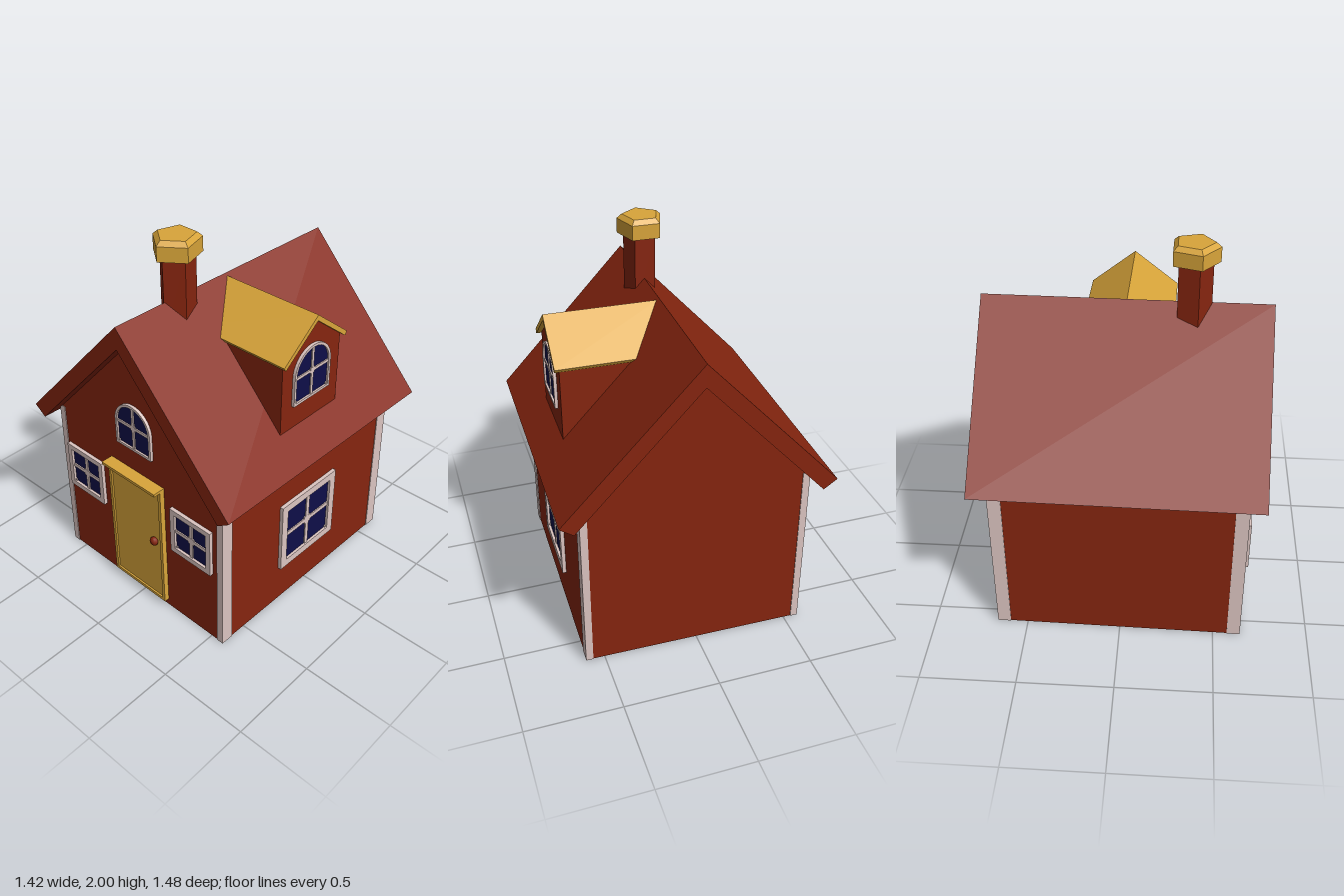
import * as THREE from 'three';

const mat = (name, color) => {
  const m = new THREE.MeshStandardMaterial({ color });
  m.name = name;
  return m;
};

export function createModel() {
  const red = mat('barn red', 0x86250f);
  const yellow = mat('ochre yellow', 0xd9a53a);
  const white = mat('pinkish white', 0xdcc5c1);
  const blue = mat('night blue', 0x0e0e48);

  const house = new THREE.Group();
  house.name = 'house';

  const add = (parent, name, geometry, material, x = 0, y = 0, z = 0) => {
    const mesh = new THREE.Mesh(geometry, material);
    mesh.name = name;
    mesh.position.set(x, y, z);
    parent.add(mesh);
    return mesh;
  };
  const box = (parent, name, material, w, h, d, x, y, z) =>
    add(parent, name, new THREE.BoxGeometry(w, h, d), material, x, y, z);
  const extrude = (shape, depth) =>
    new THREE.ExtrudeGeometry(shape, { depth, bevelEnabled: false, curveSegments: 10 });
  // Closed shape from the points of its right half, mirrored across x = 0
  const mirrored = (half) => {
    const left = half.filter(([x]) => x > 0).map(([x, y]) => [-x, y]).reverse();
    return new THREE.Shape([...half, ...left].map(([x, y]) => new THREE.Vector2(x, y)));
  };
  // Roof slabs: right outer edge going down, inner edge going back up, then the left half
  const chevron = (w, top, eave, w2, eave2, under) => new THREE.Shape(
    [[0, under], [w2, eave2], [w, eave], [0, top], [-w, eave], [-w2, eave2]]
      .map(([x, y]) => new THREE.Vector2(x, y)));

  // Walls with gables
  add(house, 'walls',
    extrude(mirrored([[0.585, 0], [0.585, 0.96], [0, 1.6]]), 1.3), red, 0, 0, -0.65);

  // Corner boards
  for (const sx of [-1, 1]) for (const sz of [-1, 1])
    box(house, 'cornerBoard', white, 0.038, 0.94, 0.07, sx * 0.57, 0.47, sz * 0.619);

  // Main roof
  add(house, 'mainRoof', extrude(chevron(0.7, 1.68, 0.93, 0.63, 0.88, 1.56), 1.46), red, 0, 0, -0.73);

  // Chimney
  const chimney = new THREE.Group();
  chimney.name = 'chimney';
  chimney.position.set(-0.004, 0, 0.327);
  chimney.scale.z = 1.04;
  const prism = (r1, r2, h) => new THREE.CylinderGeometry(r1, r2, h, 5).toNonIndexed();
  for (const [name, r1, r2, y0, y1, m] of [
    ['chimneyShaft', 0.09, 0.09, 1.5, 1.91, red],
    ['chimneyCap', 0.122, 0.122, 1.9, 1.977, yellow],
    ['chimneyCapTop', 0.096, 0.122, 1.977, 2, yellow],
  ]) {
    const g = prism(r1, r2, y1 - y0);
    g.computeVertexNormals();
    add(chimney, name, g, m, 0, (y0 + y1) / 2, 0);
  }
  house.add(chimney);

  // Window outline standing on y = 0, optionally with a round top
  const outline = (w, h, arched, inset = 0) => {
    const r = w / 2 - inset;
    const s = new THREE.Shape();
    s.moveTo(-r, inset);
    s.lineTo(r, inset);
    if (arched) {
      s.lineTo(r, h - w / 2);
      s.absarc(0, h - w / 2, r, 0, Math.PI, false);
    } else {
      s.lineTo(r, h - inset);
      s.lineTo(-r, h - inset);
    }
    s.closePath();
    return s;
  };

  // Window facing +z with frame, glass, bars and small pane corners
  const makeWindow = (name, w, h, arched, border, bar, depth, barY) => {
    const g = new THREE.Group();
    g.name = name;
    const frame = outline(w, h, arched);
    frame.holes.push(outline(w, h, arched, border));
    add(g, 'windowFrame', extrude(frame, depth), white);
    add(g, 'glass', extrude(outline(w, h, arched, border * 0.6), 0.008), blue);
    box(g, 'uprightBar', white, bar, h - border, 0.008, 0, h / 2, 0.01);
    box(g, 'crossBar', white, w - border, bar, 0.008, 0, barY, 0.01);
    box(g, 'barCrossing', white, bar * 1.9, bar * 1.9, 0.009, 0, barY, 0.01);
    const rows = arched ? [border] : [border, h - border];
    for (const sx of [-1, 1]) for (const y of rows)
      box(g, 'paneCorner', white, 0.02, 0.02, 0.008, sx * (w / 2 - border), y, 0.01);
    house.add(g);
    return g;
  };

  // Front windows
  for (const x of [-0.402, 0.383])
    makeWindow('frontWindow', 0.275, 0.275, false, 0.03, 0.02, 0.022, 0.138).position.set(x, 0.445, 0.648);
  makeWindow('gableWindow', 0.25, 0.268, true, 0.014, 0.016, 0.018, 0.137).position.set(-0.002, 0.942, 0.648);

  // Side window
  const side = makeWindow('sideWindow', 0.43, 0.42, false, 0.043, 0.024, 0.022, 0.212);
  side.position.set(0.583, 0.225, 0.007);
  side.rotation.y = Math.PI / 2;

  // Door
  const doorFrame = outline(0.385, 0.755, false);
  doorFrame.holes.push(outline(0.385, 0.755, false, 0.018));
  add(house, 'doorFrame', extrude(doorFrame, 0.03), yellow, -0.002, 0.04, 0.648);
  box(house, 'doorPanel', yellow, 0.36, 0.73, 0.02, -0.002, 0.417, 0.658);
  box(house, 'doorLintel', yellow, 0.385, 0.016, 0.072, -0.002, 0.796, 0.682);
  const knob = add(house, 'doorKnob', new THREE.SphereGeometry(0.025, 8, 6), red, 0.13, 0.438, 0.68);
  knob.scale.z = 0.8;

  // Dormer, extruded along +x
  add(house, 'dormerWalls',
    extrude(mirrored([[0.215, 1.08], [0.215, 1.475], [0, 1.645]]), 0.46).rotateY(Math.PI / 2), red, 0.1);
  add(house, 'dormerRoof',
    extrude(chevron(0.235, 1.668, 1.482, 0.222, 1.462, 1.637), 0.582).rotateY(Math.PI / 2), yellow, 0.004);
  const dormerWindow = makeWindow('dormerWindow', 0.27, 0.295, true, 0.014, 0.016, 0.018, 0.15);
  dormerWindow.position.set(0.558, 1.212, 0.003);
  dormerWindow.rotation.y = Math.PI / 2;

  // The whole house stands very slightly turned
  house.rotation.y = -0.0155;
  const model = new THREE.Group();
  model.name = 'cottage';
  model.add(house);
  return model;
}
